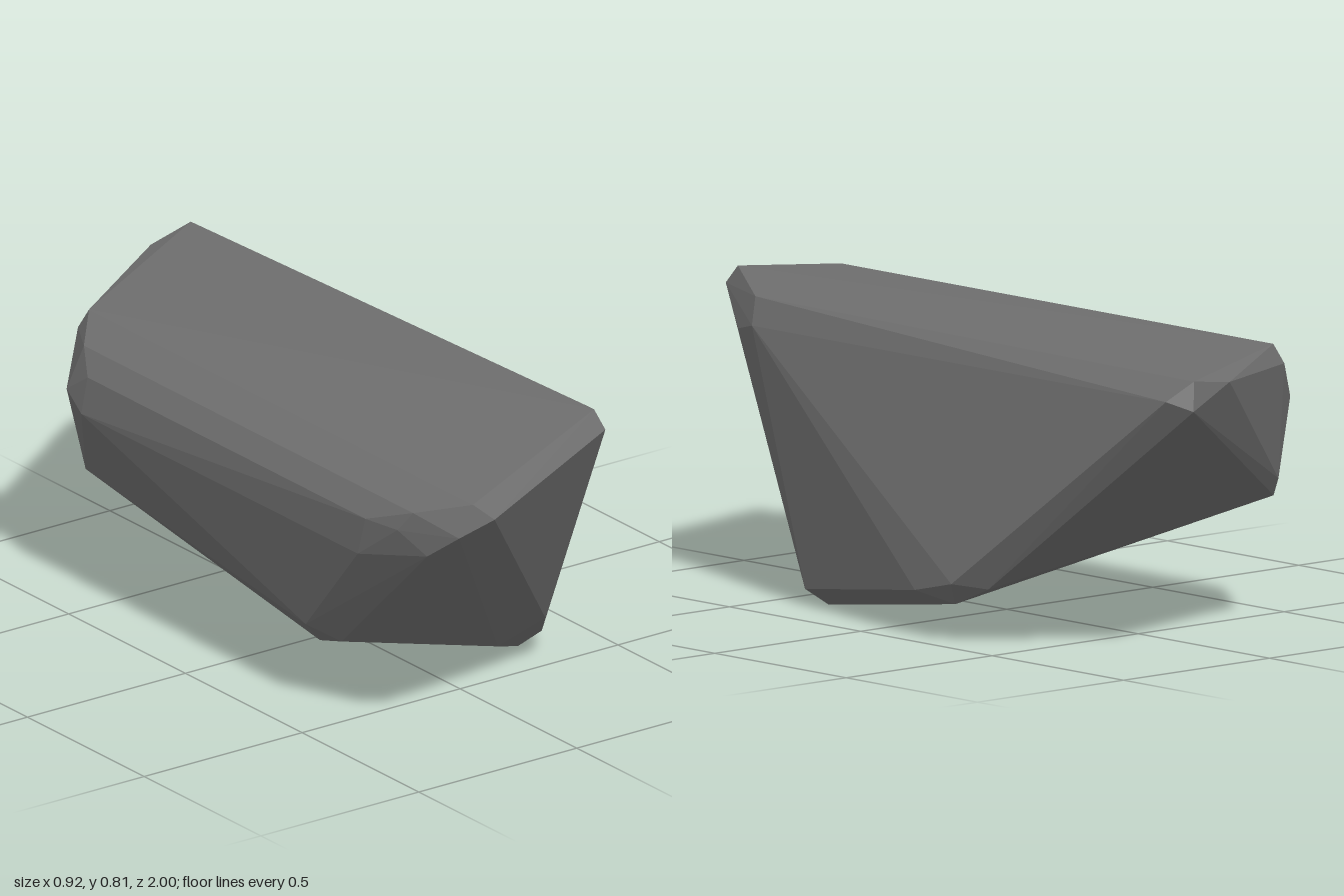
import * as THREE from 'three';
import { ConvexGeometry } from 'three/addons/geometries/ConvexGeometry.js';

export function createModel() {
  const group = new THREE.Group();
  group.name = 'rock';

  const stone = new THREE.MeshStandardMaterial({ color: 0x6e6e6e });
  stone.name = 'dark grey stone';

  // corners of the faceted boulder
  const corners = [
    // top and its front bevel
    [0.21, 0.812, 0.79], [0.22, 0.765, 0.825], [-0.31, 0.735, 0.975], [-0.26, 0.69, 1.0],
    [0.245, 0.74, -0.985], [0.285, 0.76, 0.64], [0.315, 0.69, 0.62], [0.29, 0.67, 0.7],
    // pointed back end
    [0.31, 0.69, -0.95], [0.26, 0.665, -1.0], [0.1, 0.72, -0.96],
    // worn left edge, front to back
    [-0.35, 0.65, 0.97], [-0.385, 0.58, 0.88], [-0.4, 0.69, 0.84], [-0.42, 0.635, 0.8],
    [-0.44, 0.635, 0.69], [-0.442, 0.53, 0.66],
    [-0.31, 0.735, -0.67], [-0.33, 0.685, -0.69], [-0.4, 0.69, -0.57],
    [-0.44, 0.635, -0.5], [-0.44, 0.575, -0.59], [-0.46, 0.54, -0.5],
    // lower back left corner
    [-0.365, 0.33, -0.61], [-0.35, 0.38, -0.645],
    // lower front left corner
    [-0.4, 0.235, 0.38], [-0.34, 0.17, 0.36], [-0.345, 0.2, 0.46],
    // underside and its right-hand bevel
    [0.29, 0, 0.355], [0.34, 0.042, 0.39], [0.16, 0.06, 0.445], [0.27, 0.13, 0.5],
    [0.42, 0.095, -0.27], [0.45, 0.12, -0.15], [0.46, 0.155, -0.3], [0.405, 0.145, -0.38],
  ].map((p) => new THREE.Vector3(...p));

  const boulder = new THREE.Mesh(new ConvexGeometry(corners), stone);
  boulder.name = 'boulder';
  group.add(boulder);
  return group;
}
